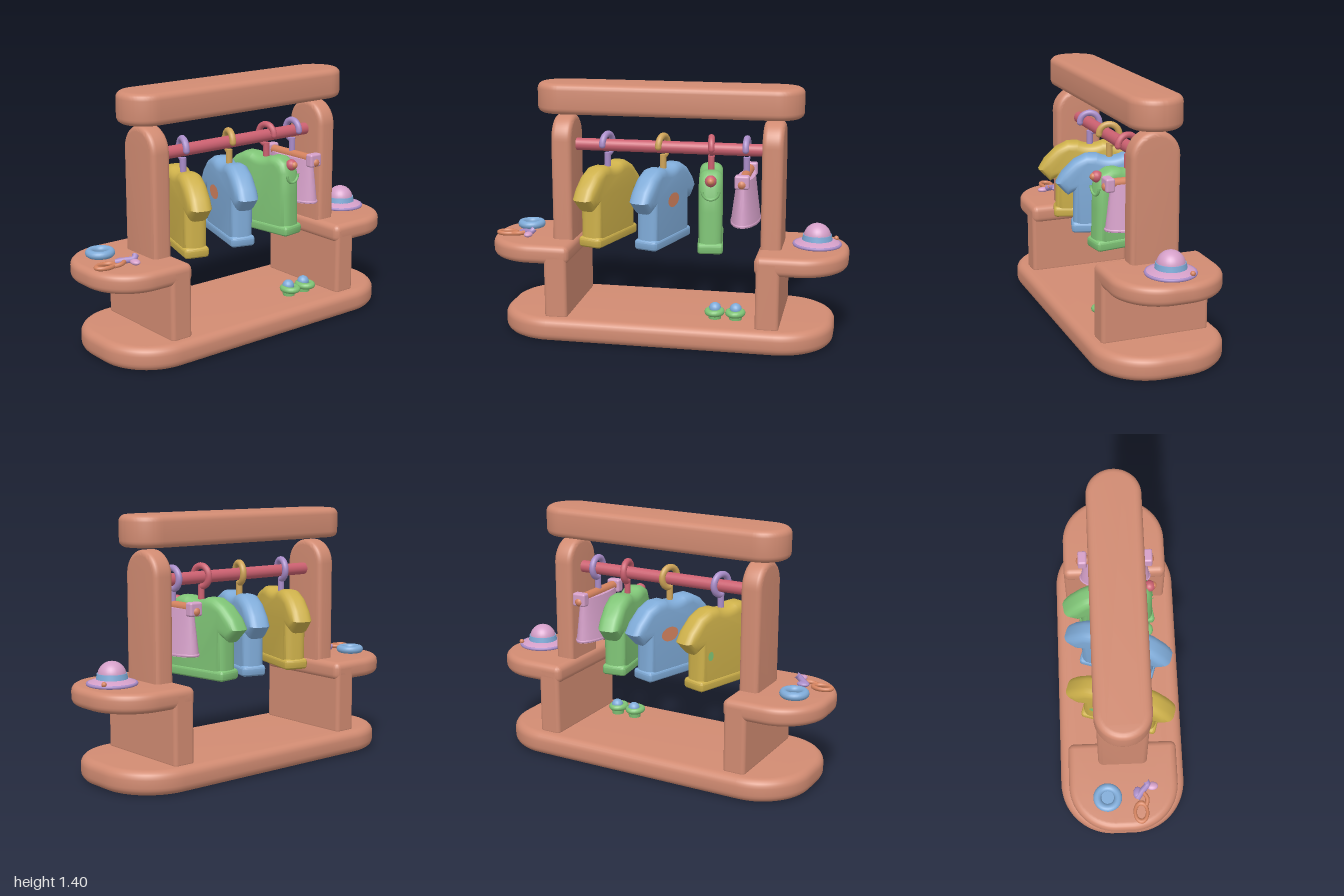
import * as THREE from 'three';
import { toCreasedNormals } from 'three/addons/utils/BufferGeometryUtils.js';
import { RoundedBoxGeometry } from 'three/addons/geometries/RoundedBoxGeometry.js';

const palette = {
  wood: 0xd18b72, yellow: 0xcdb04a, blue: 0x7fabd8, green: 0x7fc476, red: 0xcb6070,
  purple: 0xa98cc8, pink: 0xd49fc8, orange: 0xd5835f, tan: 0xcfa458,
};
const mats = {};
for (const [name, color] of Object.entries(palette)) {
  mats[name] = new THREE.MeshStandardMaterial({ color });
  mats[name].name = name;
}

function add(parent, name, geo, mat, x = 0, y = 0, z = 0) {
  const m = new THREE.Mesh(geo, mats[mat]);
  m.name = name;
  m.position.set(x, y, z);
  parent.add(m);
  return m;
}

// Soft-edged slab of a given total thickness, centred on its depth
function slab(shape, thick, bevel) {
  const g = new THREE.ExtrudeGeometry(shape, {
    depth: thick - 2 * bevel, bevelThickness: bevel, bevelSize: bevel, bevelOffset: -bevel,
    bevelSegments: 5, curveSegments: 14,
  });
  g.translate(0, 0, bevel - thick / 2);
  return toCreasedNormals(g, 0.75);
}

// Rectangle with separate corner radii on its left and right ends
function roundRect(x0, x1, y0, y1, rl, rr) {
  const s = new THREE.Shape();
  s.absarc(x1 - rr, y0 + rr, rr, -Math.PI / 2, 0);
  s.absarc(x1 - rr, y1 - rr, rr, 0, Math.PI / 2);
  s.absarc(x0 + rl, y1 - rl, rl, Math.PI / 2, Math.PI);
  s.absarc(x0 + rl, y0 + rl, rl, Math.PI, Math.PI * 1.5);
  s.closePath();
  return s;
}
const flatSlab = (shape, thick, bevel) => slab(shape, thick, bevel).rotateX(Math.PI / 2);

// Hook that hangs over the rail
function hook(parent, mat) {
  const g = new THREE.TorusGeometry(0.056, 0.018, 12, 28, Math.PI * 1.5).rotateZ(-Math.PI / 2);
  add(parent, 'hook', g, mat, 0, 1.058, 0);
  add(parent, 'hookStem', new THREE.CylinderGeometry(0.018, 0.018, 0.1, 12), mat, 0, 0.96, 0);
  add(parent, 'hookTip', new THREE.SphereGeometry(0.018, 12, 8), mat, -0.056, 1.058, 0);
}

// Tee silhouette; the left sleeve is optional
function teeShape(leftSleeve) {
  const s = new THREE.Shape();
  const right = [[0.205, 0.52], [0.2, 0.74], [0.232, 0.72], [0.3, 0.79], [0.265, 0.85], [0.2, 0.915], [0.13, 0.95], [0.07, 0.95]];
  const bare = [[0.07, 0.95], [0.12, 0.95], [0.17, 0.925], [0.195, 0.87], [0.2, 0.74], [0.205, 0.52]];
  const left = leftSleeve ? [...right].reverse() : bare;
  s.moveTo(0, 0.52);
  right.forEach(([x, y]) => s.lineTo(x, y));
  s.quadraticCurveTo(0, 0.915, -0.07, 0.95);
  left.slice(1).forEach(([x, y]) => s.lineTo(-x, y));
  s.closePath();
  return s;
}

function tee(parent, name, mat, hookMat, x, degrees, leftSleeve = true) {
  const g = new THREE.Group();
  g.name = name;
  g.position.x = x;
  g.rotation.y = THREE.MathUtils.degToRad(degrees);
  parent.add(g);
  add(g, 'shirtBody', slab(teeShape(leftSleeve), 0.13, 0.045), mat);
  add(g, 'hem', slab(roundRect(-0.213, 0.213, 0.508, 0.568, 0.02, 0.02), 0.138, 0.018), mat);
  hook(g, hookMat);
  return g;
}

// Flat oval patch on either face of a shirt
function patch(shirt, mat, w, y, rx, ry, side) {
  const m = add(shirt, 'patch', new THREE.CircleGeometry(1, 24).scale(rx, ry, 1), mat, w, y, side * 0.067);
  if (side < 0) m.rotation.y = Math.PI;
}

export function createModel() {
  const root = new THREE.Group();
  root.name = 'clothesRack';

  // Frame: base, top bar, and mirrored posts, panels and shelves
  add(root, 'base', flatSlab(roundRect(-0.93, 0.93, -0.36, 0.36, 0.3, 0.3), 0.13, 0.045), 'wood', 0, 0.066, 0);
  add(root, 'topBar', flatSlab(roundRect(-0.738, 0.738, -0.146, 0.146, 0.145, 0.145), 0.168, 0.035), 'wood', 0, 1.318, 0);
  const postShape = new THREE.Shape();
  postShape.moveTo(-0.135, 0.1);
  postShape.lineTo(0.135, 0.1);
  postShape.absarc(0, 1.085, 0.135, 0, Math.PI);
  postShape.closePath();
  for (const s of [-1, 1]) {
    add(root, 'post', slab(postShape, 0.115, 0.028).rotateY(Math.PI / 2), 'wood', s * 0.583, 0, 0);
    add(root, 'panel', new RoundedBoxGeometry(0.128, 0.4, 0.6, 4, 0.022), 'wood', s * 0.585, 0.315, 0);
    const outline = s > 0 ? roundRect(0.51, 1, -0.3, 0.3, 0.035, 0.26) : roundRect(-1, -0.51, -0.3, 0.3, 0.26, 0.035);
    add(root, 'shelf', flatSlab(outline, 0.105, 0.035), 'wood', 0, 0.478, 0);
  }
  add(root, 'rail', new THREE.CylinderGeometry(0.034, 0.034, 1.1, 24).rotateZ(Math.PI / 2), 'red', 0, 1.052, 0);

  // Hanging shirts
  const yellow = tee(root, 'yellowShirt', 'yellow', 'purple', -0.35, 73);
  patch(yellow, 'green', 0.14, 0.7, 0.02, 0.025, -1);
  const blue = tee(root, 'blueShirt', 'blue', 'tan', -0.035, 73);
  patch(blue, 'orange', 0.0, 0.76, 0.062, 0.04, 1);
  patch(blue, 'orange', 0.06, 0.76, 0.062, 0.04, -1);
  const green = tee(root, 'greenShirt', 'green', 'red', 0.235, 98, false);
  const armhole = new THREE.TorusGeometry(0.045, 0.008, 8, 20, Math.PI).rotateZ(Math.PI).rotateY(-Math.PI / 2);
  add(green, 'armhole', armhole, 'green', -0.196, 0.855, 0);
  add(green, 'hangerEnd', new THREE.SphereGeometry(0.032, 16, 12), 'red', -0.185, 0.91, 0);
  add(green, 'hangerCap', new THREE.SphereGeometry(0.02, 14, 10), 'orange', -0.205, 0.912, 0);

  // Small dress: an oval tube that narrows toward the top
  const dress = new THREE.Group();
  dress.name = 'dress';
  dress.position.x = 0.43;
  dress.rotation.y = Math.PI / 2;
  root.add(dress);
  const skirt = new THREE.CylinderGeometry(1, 1, 0.25, 40, 6);
  const p = skirt.attributes.position;
  for (let i = 0; i < p.count; i++) {
    const t = p.getY(i) / 0.25 + 0.5;
    p.setX(i, p.getX(i) * (0.2 - 0.03 * t));
    p.setZ(i, p.getZ(i) * (0.08 - 0.033 * t));
  }
  skirt.computeVertexNormals();
  add(dress, 'skirt', toCreasedNormals(skirt, 0.8), 'pink', 0, 0.785, 0);
  add(dress, 'skirtHem', new THREE.TorusGeometry(1, 0.05, 8, 40).rotateX(Math.PI / 2).scale(0.195, 0.16, 0.077), 'pink', 0, 0.668, 0);
  add(dress, 'hangerArm', new THREE.CylinderGeometry(0.026, 0.026, 0.37, 16).rotateZ(Math.PI / 2), 'orange', 0, 0.915, 0);
  for (const s of [-1, 1]) {
    add(dress, 'strap', new RoundedBoxGeometry(0.05, 0.075, 0.08, 3, 0.012), 'pink', s * 0.182, 0.912, 0);
    add(dress, 'hangerEnd', new THREE.SphereGeometry(0.026, 14, 10), 'orange', s * 0.192, 0.9, 0);
  }
  hook(dress, 'purple');

  // Pair of shoes on the base
  for (const x of [0.285, 0.4]) {
    const shoe = new THREE.Group();
    shoe.name = 'shoe';
    shoe.position.set(x, 0.13, 0.15);
    root.add(shoe);
    add(shoe, 'sole', new THREE.CylinderGeometry(0.038, 0.034, 0.04, 20), 'green', 0, 0.018, 0);
    add(shoe, 'rim', new THREE.TorusGeometry(0.038, 0.018, 10, 24).rotateX(Math.PI / 2).scale(1, 1, 1.15), 'green', 0, 0.042, 0.01);
    add(shoe, 'bobble', new THREE.SphereGeometry(0.034, 18, 12), 'blue', 0, 0.056, -0.006);
  }

  // Sun hat
  const hat = new THREE.Group();
  hat.name = 'hat';
  hat.position.set(0.825, 0.53, 0);
  root.add(hat);
  const v = (x, y) => new THREE.Vector2(x, y);
  add(hat, 'brim', new THREE.LatheGeometry([v(0, 0.005), v(0.12, 0.005), v(0.133, 0.012), v(0.128, 0.02), v(0.08, 0.04), v(0, 0.045)], 40), 'pink');
  add(hat, 'brimEdge', new THREE.TorusGeometry(0.126, 0.009, 8, 40).rotateX(Math.PI / 2), 'purple', 0, 0.014, 0);
  add(hat, 'band', new THREE.CylinderGeometry(0.078, 0.084, 0.035, 32), 'blue', 0, 0.05, 0);
  add(hat, 'crown', new THREE.SphereGeometry(0.075, 28, 12, 0, Math.PI * 2, 0, Math.PI / 2), 'pink', 0, 0.055, 0);
  add(hat, 'hatBead', new THREE.SphereGeometry(0.014, 12, 8), 'orange', 0.1, 0.03, -0.075);

  // Bracelet dish
  add(root, 'bracelet', new THREE.TorusGeometry(0.057, 0.022, 12, 32).rotateX(Math.PI / 2), 'blue', -0.83, 0.556, -0.09);
  add(root, 'braceletBase', new THREE.CylinderGeometry(0.055, 0.05, 0.015, 28), 'blue', -0.83, 0.54, -0.09);

  // Sunglasses: two lens rings and raised arms
  const specs = new THREE.Group();
  specs.name = 'trinkets';
  specs.position.set(-0.85, 0.545, 0.1);
  root.add(specs);
  const tube = (name, mat, r, pts) => add(specs, name, new THREE.TubeGeometry(
    new THREE.CatmullRomCurve3(pts.map((q) => new THREE.Vector3(...q))), 18, r, 8), mat);
  add(specs, 'ring', new THREE.TorusGeometry(0.042, 0.012, 10, 24).rotateX(Math.PI / 2).scale(1.2, 1, 0.8), 'orange', -0.065, 0, -0.01);
  tube('ringTail', 'orange', 0.012, [[-0.03, 0, 0.02], [0.01, 0.005, 0.025], [0.05, 0.008, 0]]);
  tube('bow', 'purple', 0.017, [[0.01, 0, -0.03], [0.05, 0.01, 0], [0.085, 0.02, 0.03], [0.1, 0.035, 0.02]]);
  add(specs, 'bowLoop', new THREE.SphereGeometry(0.035, 16, 10).scale(1, 0.4, 0.7), 'purple', 0.04, 0.005, -0.025);
  add(specs, 'bowEnd', new THREE.SphereGeometry(0.03, 16, 10).scale(0.8, 0.5, 1.1), 'pink', 0.075, 0.01, 0.055);
  return root;
}
